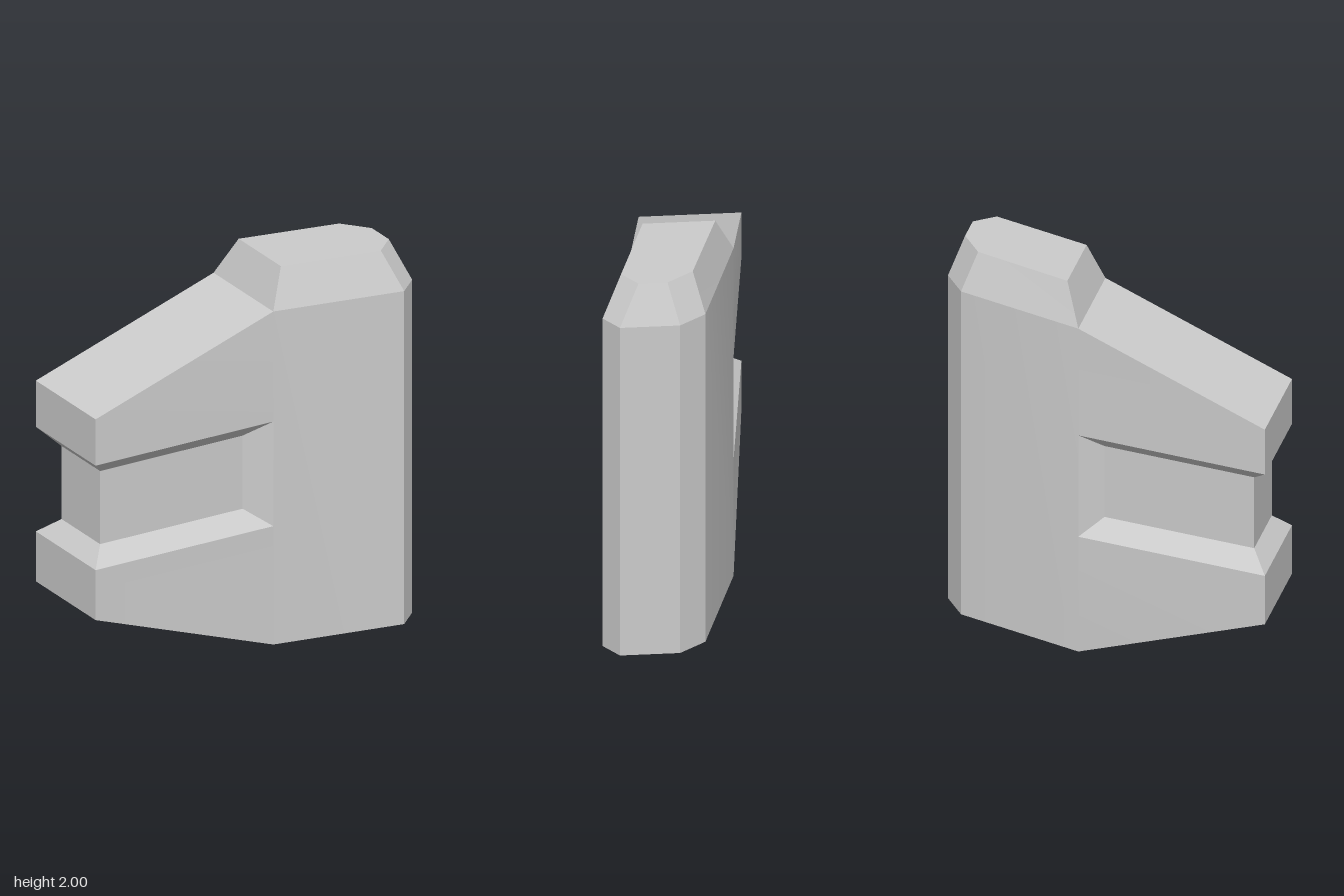
import * as THREE from 'three';
import { mergeGeometries, toCreasedNormals } from 'three/addons/utils/BufferGeometryUtils.js';

// Skin a stack of rings of [x, y, z] corners, bottom to top, with flat caps.
// isOpen(band, side) leaves out the faces where two parts join.
function loft(rings, isOpen) {
  const pos = [];
  const tri = (a, b, c) => {
    const [A, B, C] = [a, b, c].map((p) => new THREE.Vector3(...p));
    if (B.sub(A).cross(C.sub(A)).length() > 1e-6) pos.push(...a, ...b, ...c);
  };
  const n = rings[0].length;
  for (let r = 0; r < rings.length - 1; r++) {
    for (let i = 0; i < n; i++) {
      if (isOpen(r, i)) continue;
      const j = (i + 1) % n;
      const [lo, hi] = [rings[r], rings[r + 1]];
      tri(lo[i], hi[i], hi[j]);
      tri(lo[i], hi[j], lo[j]);
    }
  }
  const [first, last] = [rings[0], rings[rings.length - 1]];
  for (let i = 1; i < n - 1; i++) {
    tri(first[0], first[i], first[i + 1]);
    tri(last[0], last[i + 1], last[i]);
  }
  const geo = new THREE.BufferGeometry();
  geo.setAttribute('position', new THREE.Float32BufferAttribute(pos, 3));
  return geo;
}

export function createModel() {
  // Plan outlines [x, z]
  const pillarPlan = [[0.11, -0.285], [0.745, -0.095], [0.845, 0.035], [0.845, 0.325], [0.745, 0.4], [0.11, 0.21]];
  const crownPlan = [[0.19, -0.19], [0.675, -0.04], [0.775, 0.09], [0.775, 0.23], [0.675, 0.305], [0.19, 0.16]];
  const rim = [[-0.85, -0.405], [0.11, -0.285], [0.11, -0.285], [0.11, 0.21], [0.11, 0.21], [-0.85, 0.09]];
  const floor = [[-0.77, -0.305], [0, -0.21], [0.11, -0.285], [0.11, 0.21], [0, 0.11], [-0.77, 0.015]];

  // Height may differ between the free end and the joined end of the arm
  const ring = (plan, yEnd, yJoin = yEnd) => plan.map(([x, z]) => [x, x < -0.5 ? yEnd : yJoin, z]);

  // Upright pillar with a bevelled crown, open where the arm joins
  const pillar = loft(
    [ring(pillarPlan, 0), ring(pillarPlan, 1.8), ring(crownPlan, 2)],
    (band, side) => band === 0 && side === 5
  );

  // Tapered arm with a bevelled groove running round its free end
  const arm = loft(
    [ring(rim, 0.37, 0), ring(rim, 0.64), ring(floor, 0.725),
      ring(floor, 1.12), ring(rim, 1.205), ring(rim, 1.455, 1.8)],
    (band, side) => side === 2
  );

  // Soften only the shallow bend between arm and pillar
  const body = new THREE.Mesh(
    toCreasedNormals(mergeGeometries([pillar, arm]), 0.2),
    new THREE.MeshStandardMaterial({ color: 0xcccccc })
  );
  body.name = 'groovedBody';

  const group = new THREE.Group();
  group.name = 'groovedBlock';
  group.add(body);
  return group;
}
